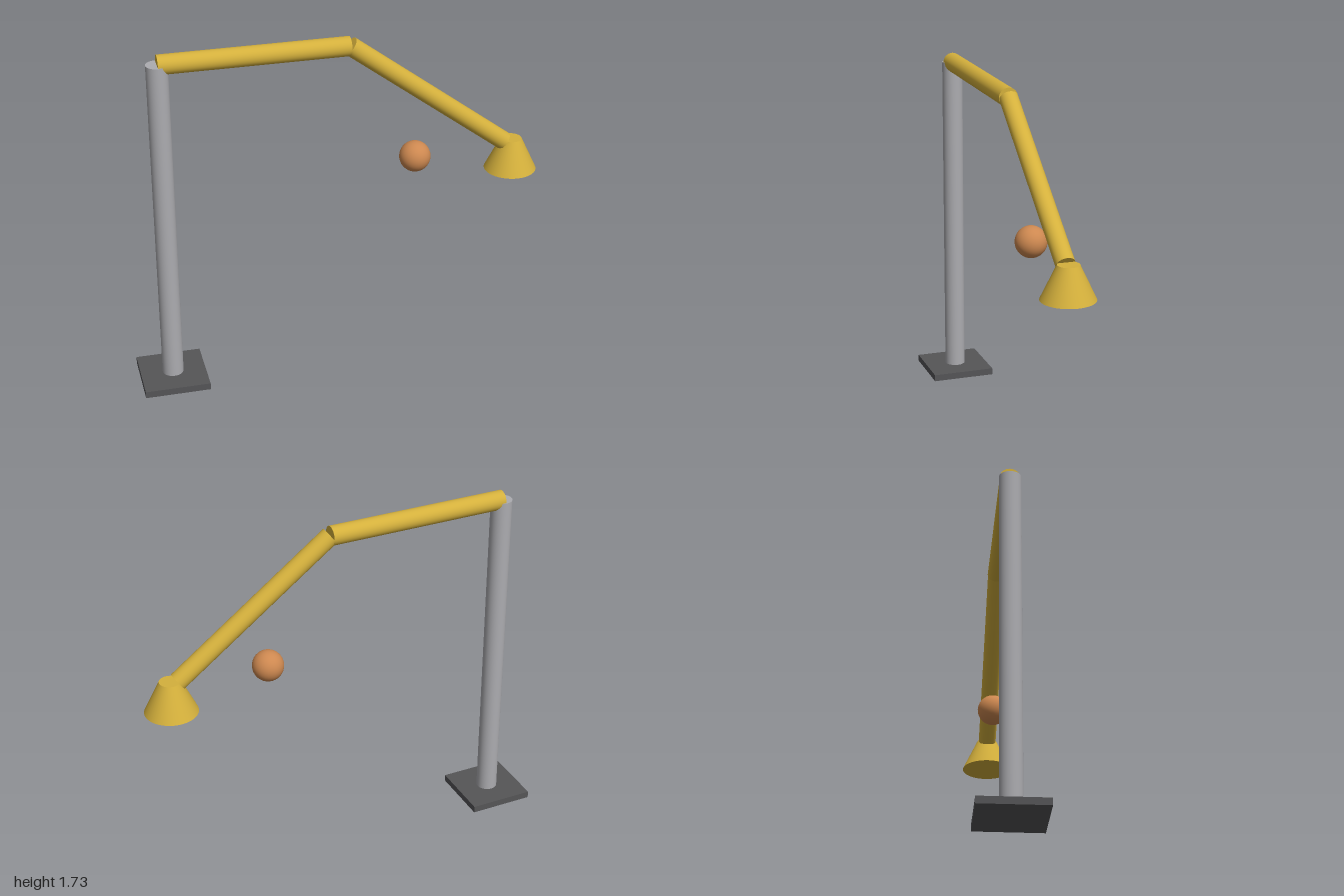
import * as THREE from 'three';

const material = (name, color) => {
  const m = new THREE.MeshStandardMaterial({ color });
  m.name = name;
  return m;
};

export function createModel() {
  const model = new THREE.Group();
  model.name = 'armLamp';

  const darkGrey = material('darkGrey', 0x555557);
  const steel = material('steel', 0xacacb0);
  const gold = material('gold', 0xd4b03c);
  const copper = material('copper', 0xcd8850);

  const add = (name, geometry, mat, x, y) => {
    const mesh = new THREE.Mesh(geometry, mat);
    mesh.name = name;
    mesh.position.set(x, y, 0);
    model.add(mesh);
    return mesh;
  };

  // Capped round bar between two points in the z = 0 plane
  const bar = (name, mat, radius, [x1, y1], [x2, y2]) => {
    const length = Math.hypot(x2 - x1, y2 - y1);
    const mesh = add(name, new THREE.CylinderGeometry(radius, radius, length, 32), mat, (x1 + x2) / 2, (y1 + y2) / 2);
    mesh.rotation.z = Math.atan2(y2 - y1, x2 - x1) - Math.PI / 2;
  };

  // Square foot and upright post
  add('base', new THREE.BoxGeometry(0.32, 0.034, 0.32), darkGrey, -0.84, 0.017);
  bar('post', steel, 0.052, [-0.84, 0.005], [-0.84, 1.683]);

  // Two arm segments
  bar('upperArm', gold, 0.047, [-0.84, 1.682], [0.06, 1.682]);
  bar('lowerArm', gold, 0.045, [0.062, 1.682], [0.834, 1.104]);

  // Closed conical shade
  add('shade', new THREE.CylinderGeometry(0.051, 0.127, 0.16, 48), gold, 0.873, 1.034);

  // Ball hanging free below the arm
  add('ball', new THREE.SphereGeometry(0.076, 32, 20), copper, 0.385, 1.075);

  return model;
}
